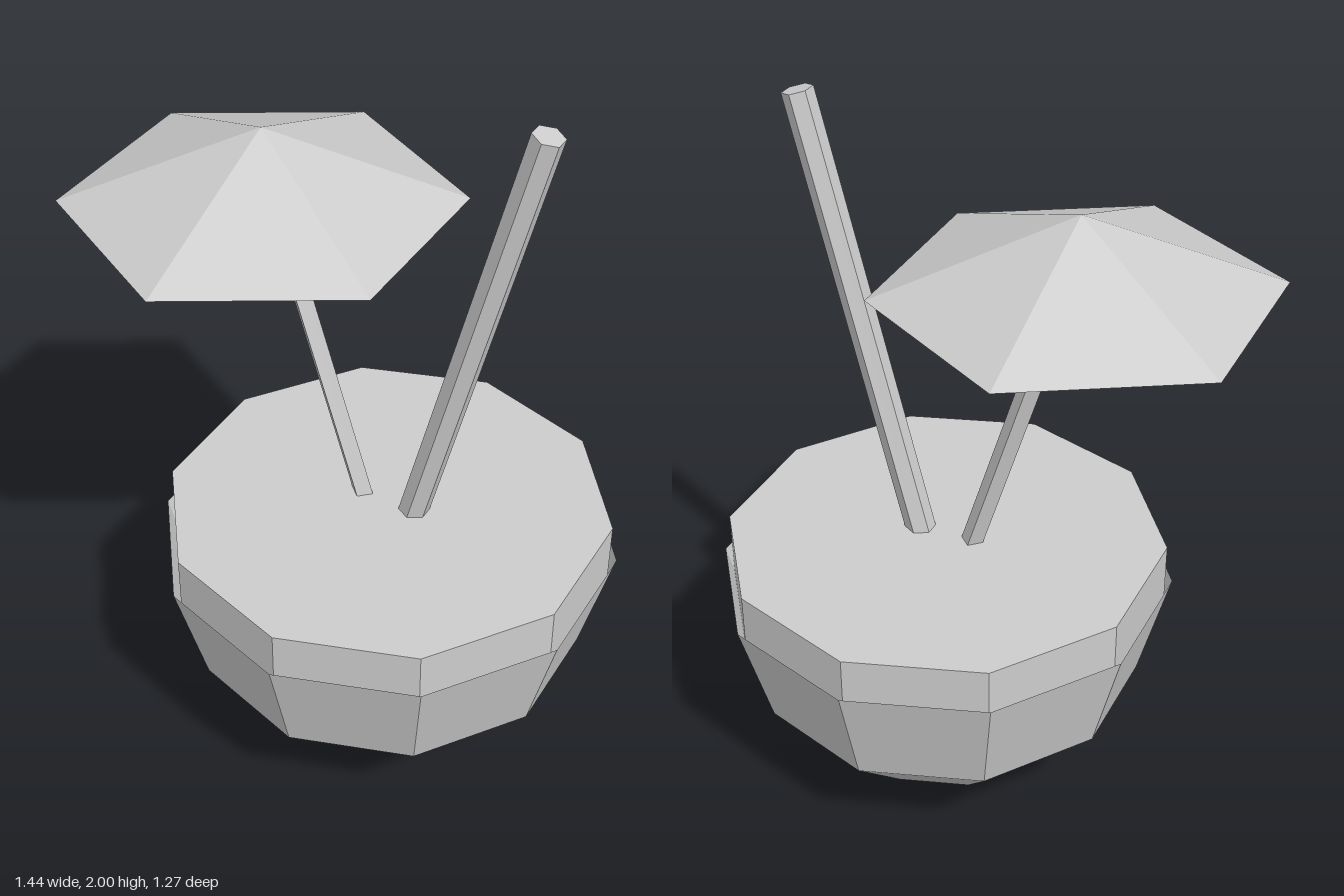
import * as THREE from 'three';

const grey = new THREE.MeshStandardMaterial({ color: 0xcccccc, flatShading: true });
grey.name = 'light grey';
const greyOpen = new THREE.MeshStandardMaterial({ color: 0xcccccc, flatShading: true, side: THREE.DoubleSide });
greyOpen.name = 'light grey';

export function createModel() {
  const group = new THREE.Group();
  const CX = 0.112; // axis of the shell

  const add = (name, geometry, x, y, material = grey) => {
    const mesh = new THREE.Mesh(geometry, material);
    mesh.name = name;
    mesh.position.set(x, y, 0);
    group.add(mesh);
    return mesh;
  };

  // Straight rod between two points in the z = 0 plane
  const rod = (name, radius, sides, [x0, y0], [x1, y1]) => {
    const length = Math.hypot(x1 - x0, y1 - y0);
    const mesh = add(name, new THREE.CylinderGeometry(radius, radius, length, sides),
      (x0 + x1) / 2, (y0 + y1) / 2);
    mesh.rotation.z = Math.atan2(x0 - x1, y1 - y0);
  };

  // Open half shell with ten sides, a corner facing the front
  const shell = new THREE.SphereGeometry(0.635, 10, 3, 0, Math.PI * 2, Math.PI / 2, Math.PI / 2);
  shell.rotateY(Math.PI / 2);
  add('shell', shell, CX, 0.637, greyOpen);

  // Filling rising out of the shell
  add('filling', new THREE.CylinderGeometry(0.615, 0.615, 0.18, 10), CX, 0.66);

  // Drinking straw
  rod('straw', 0.042, 6, [0.148, 0.58], [0.507, 1.99]);

  // Paper parasol: stick and closed canopy
  rod('parasolStick', 0.031, 4, [0.08, 0.59], [-0.247, 1.65]);
  add('parasolCanopy', new THREE.ConeGeometry(0.528, 0.208, 6), -0.262, 1.7);

  return group;
}
